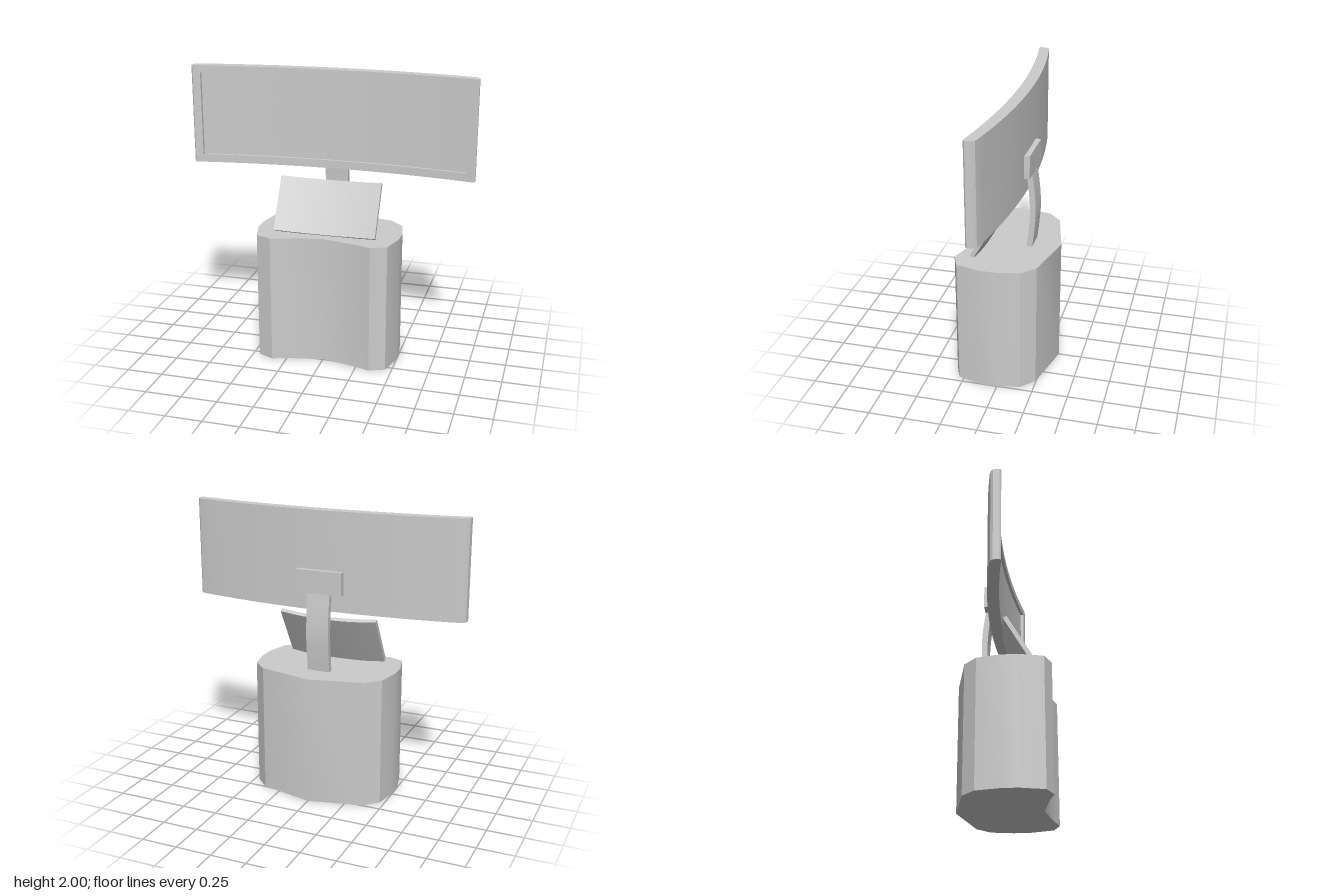
import * as THREE from 'three';
import { toCreasedNormals } from 'three/addons/utils/BufferGeometryUtils.js';

const material = new THREE.MeshStandardMaterial({ color: 0xcccccc });

function addMesh(parent, name, geometry, crease = 0.5) {
  const mesh = new THREE.Mesh(toCreasedNormals(geometry, crease), material);
  mesh.name = name;
  parent.add(mesh);
  return mesh;
}

// Upright prism over a plan outline of [x, z] points, from y0 to y1
function prism(plan, y0, y1) {
  const shape = new THREE.Shape(plan.map(([x, z]) => new THREE.Vector2(x, -z)));
  return new THREE.ExtrudeGeometry(shape, { depth: y1 - y0, bevelEnabled: false })
    .rotateX(-Math.PI / 2).translate(0, y0, 0);
}

// Completes a plan given for x >= 0 by mirroring it across x = 0
function mirrored(half) {
  const other = half.filter(([x]) => x > 0).reverse().map(([x, z]) => [-x, z]);
  return [...half, ...other];
}

// Points of a shallow bow: z = z0 at the middle, z0 + sag at x = reach
function bow(reach, z0, sag, steps = 12) {
  return Array.from({ length: steps + 1 }, (_, i) => {
    const t = i / steps;
    return [reach * t, z0 + sag * t * t];
  });
}

export function createModel() {
  const model = new THREE.Group();
  model.name = 'consoleDesk';

  // Pedestal with a bowed back and a hollowed front
  addMesh(model, 'pedestal', prism(mirrored([
    [0, -0.335], [0.374, -0.247], [0.468, -0.158], [0.5, 0], [0.5, 0.117],
    [0.455, 0.284], [0.348, 0.328], [0.255, 0.298], [0, 0.245],
  ]), 0, 0.9));

  // Curved wide screen: full-depth rails above and below a recessed panel
  const screen = new THREE.Group();
  screen.name = 'screen';
  model.add(screen);
  const back = bow(0.93, -0.11, 0.085);
  const end = [[0.965, -0.015], [0.98, 0.003], [0.982, 0.045], [0.972, 0.055], [0.955, 0.053]];
  const front = bow(0.92, -0.027, 0.074).reverse();
  const floor = front.map(([x, z]) => [x, z - 0.022]);
  const rail = mirrored([...back, ...end, ...front]);
  const panel = mirrored([...back, ...end, front[0], ...floor]);
  addMesh(screen, 'screenBottomRail', prism(rail, 1.32, 1.375));
  addMesh(screen, 'screenPanel', prism(panel, 1.375, 1.95));
  addMesh(screen, 'screenTopRail', prism(rail, 1.95, 2));

  // Mounting plate behind the screen
  const plate = addMesh(model, 'mountPlate', new THREE.BoxGeometry(0.33, 0.16, 0.045));
  plate.position.set(0, 1.52, -0.123);

  // Bent flat arm rising from the pedestal to the plate
  const curve = new THREE.SplineCurve([
    [-0.124, 0.88], [-0.138, 1.0], [-0.149, 1.15], [-0.141, 1.3], [-0.122, 1.45],
  ].map(([z, y]) => new THREE.Vector2(z, y)));
  const line = curve.getPoints(24);
  const armShape = new THREE.Shape([
    ...line.map((p) => new THREE.Vector2(p.x + 0.02, p.y)),
    ...line.map((p) => new THREE.Vector2(p.x - 0.02, p.y)).reverse(),
  ]);
  const arm = new THREE.ExtrudeGeometry(armShape, { depth: 0.16, bevelEnabled: false })
    .translate(0, 0, -0.08).rotateY(-Math.PI / 2);
  addMesh(model, 'supportArm', arm);

  // Tilted, slightly curved control tablet
  const tablet = addMesh(model, 'controlTablet', prism(mirrored([
    ...bow(0.355, -0.06, 0.03), ...bow(0.355, -0.03, 0.03).reverse(),
  ]), 0, 0.385));
  tablet.rotation.x = -0.516;
  tablet.position.set(0, 0.925, 0.22);

  return model;
}
